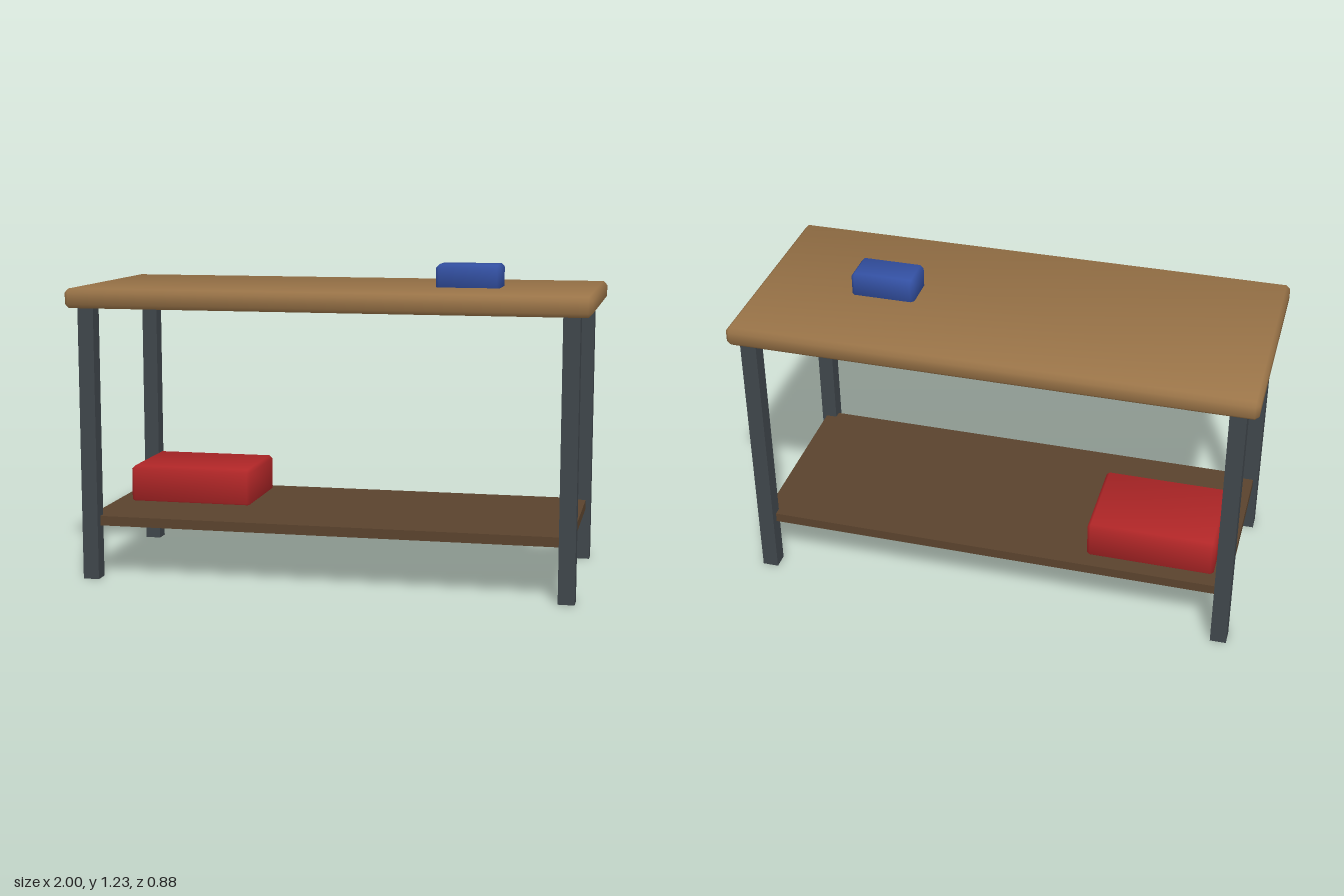
import * as THREE from 'three';

const material = (name, color) => {
  const m = new THREE.MeshStandardMaterial({ color });
  m.name = name;
  return m;
};

// Box with chamfered edges and soft normals that lean outward at the corners
function chamferBox(w, h, d, c) {
  const half = [w / 2, h / 2, d / 2];
  const positions = [], normals = [], index = [];

  // Three vertices per corner, one on each adjoining face
  for (let corner = 0; corner < 8; corner++) {
    const sign = [0, 1, 2].map((i) => ((corner >> i) & 1 ? 1 : -1));
    for (let axis = 0; axis < 3; axis++) {
      for (let i = 0; i < 3; i++) {
        positions.push(sign[i] * (half[i] - (i === axis ? 0 : c)));
        normals.push(sign[i] * (i === axis ? 0.876 : 0.341));
      }
    }
  }

  const point = (i) => new THREE.Vector3().fromArray(positions, i * 3);
  const addFace = (ids) => {
    const [a, b, e] = ids.map(point);
    const facing = b.clone().sub(a).cross(e.clone().sub(a));
    const middle = ids.reduce((sum, i) => sum.add(point(i)), new THREE.Vector3());
    if (facing.dot(middle) < 0) ids.reverse();
    for (let i = 2; i < ids.length; i++) index.push(ids[0], ids[i - 1], ids[i]);
  };

  for (let axis = 0; axis < 3; axis++) {
    const u = 1 << ((axis + 1) % 3), v = 1 << ((axis + 2) % 3), n = 1 << axis;
    // Flat sides
    for (const s of [0, n]) {
      addFace([s, s + u, s + u + v, s + v].map((k) => k * 3 + axis));
    }
    // Chamfered edges running along this axis
    for (const k of [0, u, v, u + v]) {
      const a = (axis + 1) % 3, b = (axis + 2) % 3;
      addFace([k * 3 + a, (k + n) * 3 + a, (k + n) * 3 + b, k * 3 + b]);
    }
  }
  // Corner triangles
  for (let k = 0; k < 8; k++) addFace([k * 3, k * 3 + 1, k * 3 + 2]);

  const geometry = new THREE.BufferGeometry();
  geometry.setAttribute('position', new THREE.Float32BufferAttribute(positions, 3));
  geometry.setAttribute('normal', new THREE.Float32BufferAttribute(normals, 3));
  geometry.setIndex(index);
  return geometry;
}

export function createModel() {
  const group = new THREE.Group();
  group.name = 'workbench';

  const topWood = material('light wood', 0x9a7448);
  const shelfWood = material('dark wood', 0x5a432d);
  const steel = material('dark steel', 0x3f464b);
  const red = material('red', 0xb02627);
  const blue = material('blue', 0x3350a2);

  const add = (name, geometry, mat, x, y, z) => {
    const mesh = new THREE.Mesh(geometry, mat);
    mesh.name = name;
    mesh.position.set(x, y, z);
    group.add(mesh);
  };

  // Worktop and lower shelf
  add('worktop', chamferBox(2, 0.075, 0.875, 0.0156), topWood, 0, 1.1, 0);
  add('lowerShelf', new THREE.BoxGeometry(1.875, 0.0375, 0.75), shelfWood, 0, 0.2275, 0);

  // Four square legs
  const leg = new THREE.BoxGeometry(0.0625, 1.0625, 0.0625);
  for (const [side, sx] of [['Left', 1], ['Right', -1]]) {
    for (const [end, sz] of [['front', 1], ['back', -1]]) {
      add(`${end}${side}Leg`, leg, steel, sx * 0.925, 0.53125, sz * 0.375);
    }
  }

  // Boxes resting on the shelf and worktop
  add('redToolbox', chamferBox(0.5, 0.15, 0.375, 0.0125), red, -0.625, 0.315, -0.125);
  add('blueBox', chamferBox(0.25, 0.1, 0.15, 0.0125), blue, 0.5, 1.176, 0);

  return group;
}
